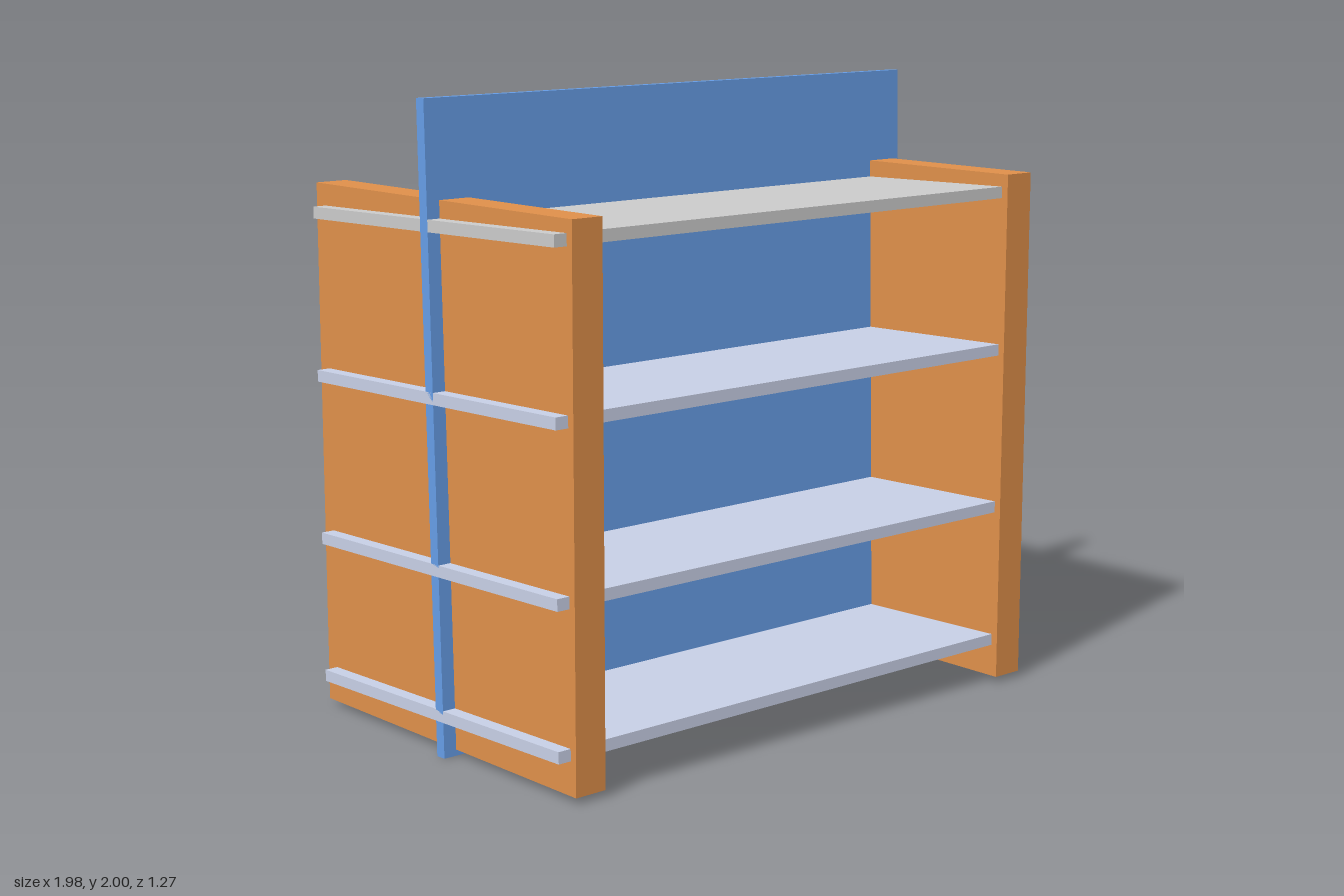
import * as THREE from 'three';

const TILT = -0.0235; // shelves and divider share a slight backward lean

function board(name, size, position, color, tilt = 0) {
  const material = new THREE.MeshStandardMaterial({ color });
  const mesh = new THREE.Mesh(new THREE.BoxGeometry(...size), material);
  mesh.name = name;
  mesh.position.set(...position);
  mesh.rotation.x = tilt;
  return mesh;
}

export function createModel() {
  const model = new THREE.Group();
  model.name = 'shelfUnit';

  // upright side panels, slightly off-centre
  model.add(board('rightSidePanel', [0.11, 1.68, 1.27], [-0.89, 0.86, 0], 0xe0904a));
  model.add(board('leftSidePanel', [0.11, 1.68, 1.27], [0.912, 0.86, 0], 0xe0904a));

  // tall central divider
  model.add(board('divider', [1.98, 2, 0.037], [0, 1, 0.012], 0x669de6, TILT));

  // shelves poking through the side panels; the top one is plain grey
  [0.131, 0.585, 1.111, 1.627].forEach((y, i) => {
    const color = i === 3 ? 0xcccccc : 0xc8d0e6;
    model.add(board(`shelf${i + 1}`, [1.98, 0.037, 1.2], [0, y, 0.012], color, TILT));
  });

  return model;
}
